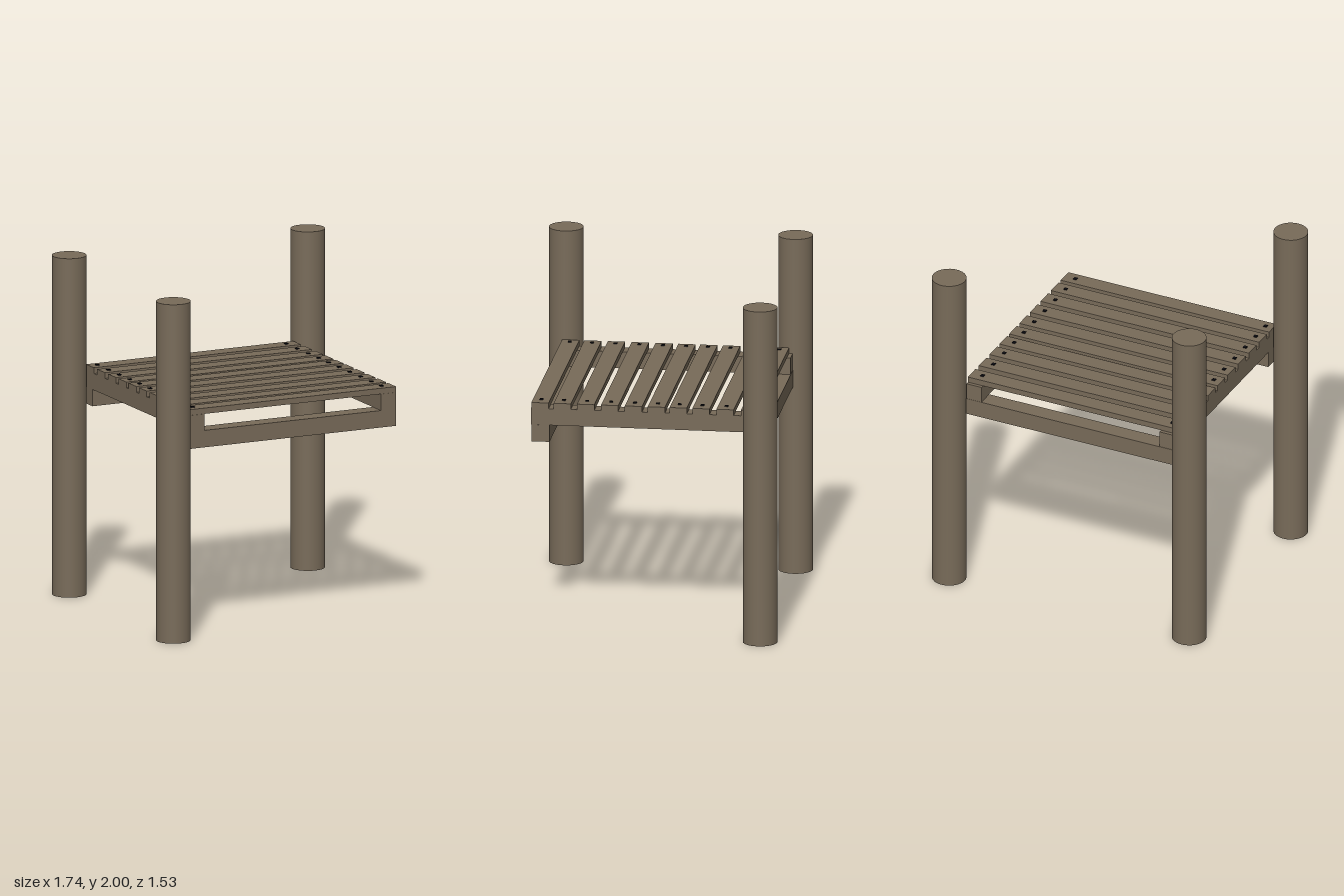
import * as THREE from 'three';

export function createModel() {
  const group = new THREE.Group();
  const wood = new THREE.MeshStandardMaterial({ color: 0x786b59 });
  wood.name = 'weathered wood';
  const iron = new THREE.MeshStandardMaterial({ color: 0x0c0c12 });
  iron.name = 'dark iron';

  // Box given by its extents along each axis
  function box(name, [x0, x1], [y0, y1], [z0, z1], material = wood) {
    const mesh = new THREE.Mesh(new THREE.BoxGeometry(x1 - x0, y1 - y0, z1 - z0), material);
    mesh.position.set((x0 + x1) / 2, (y0 + y1) / 2, (z0 + z1) / 2);
    mesh.name = name;
    group.add(mesh);
  }

  // Three round posts; the front left corner stays open
  const postGeometry = new THREE.CylinderGeometry(0.1, 0.1, 2, 32);
  for (const [name, x, z] of [
    ['backRightPost', -0.77, -0.667],
    ['backLeftPost', 0.767, -0.667],
    ['frontRightPost', -0.77, 0.664],
  ]) {
    const post = new THREE.Mesh(postGeometry, wood);
    post.position.set(x, 1, z);
    post.name = name;
    group.add(post);
  }

  // Cross beams carry the side rails
  box('frontBeam', [-0.672, 0.66], [1.118, 1.218], [0.57, 0.673]);
  box('backBeam', [-0.672, 0.66], [1.118, 1.218], [-0.665, -0.563]);
  box('rightRail', [-0.674, -0.577], [1.218, 1.316], [-0.663, 0.677]);
  box('leftRail', [0.562, 0.659], [1.218, 1.316], [-0.663, 0.677]);

  // Deck planks, each nailed to both rails
  const plankZ = [-0.592, -0.449, -0.309, -0.177, -0.05, 0.083, 0.221, 0.36, 0.496, 0.625];
  for (const z of plankZ) {
    box('plank', [-0.674, 0.66], [1.316, 1.35], [z - 0.05, z + 0.05]);
    for (const x of [-0.627, 0.59]) {
      box('nailHead', [x - 0.01, x + 0.01], [1.349, 1.355], [z - 0.01, z + 0.01], iron);
    }
  }
  return group;
}
